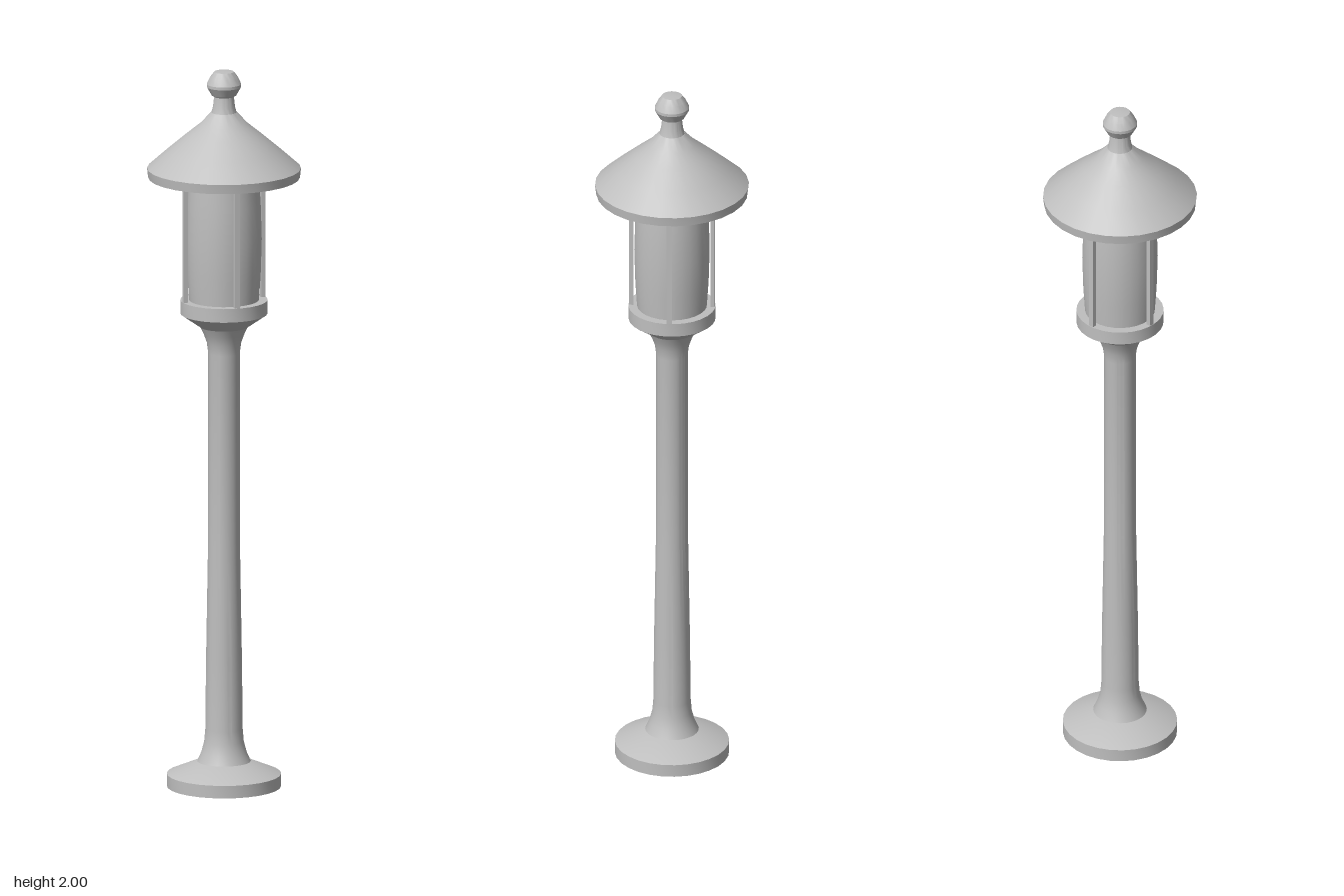
import * as THREE from 'three';
import { toCreasedNormals } from 'three/addons/utils/BufferGeometryUtils.js';

const SIDES = 28;

export function createModel() {
  const lamp = new THREE.Group();
  lamp.name = 'lampPost';
  const metal = new THREE.MeshStandardMaterial({ color: 0xbfbfbf });
  metal.name = 'grey metal';

  // Turned part from [radius, height] pairs listed bottom to top
  function turned(name, profile) {
    const points = profile.map(([r, y]) => new THREE.Vector2(r, y));
    const geometry = toCreasedNormals(new THREE.LatheGeometry(points, SIDES), 0.42);
    const mesh = new THREE.Mesh(geometry, metal);
    mesh.name = name;
    lamp.add(mesh);
  }

  // Foot plate with a sloping top
  turned('base', [[0, 0], [0.156, 0], [0.156, 0.035], [0.074, 0.07], [0, 0.07]]);

  // Slightly tapered pole, flared at both ends
  turned('pole', [
    [0.074, 0.068], [0.062, 0.095], [0.054, 0.125], [0.051, 0.16], [0.049, 0.35],
    [0.044, 0.65], [0.043, 1.21], [0.047, 1.24], [0.056, 1.265], [0.066, 1.285],
  ]);

  // Dish that carries the lantern
  turned('lanternTray', [[0, 1.285], [0.066, 1.285], [0.119, 1.322], [0.119, 1.36], [0, 1.36]]);

  // Gently bulging glass
  turned('glass', [[0.095, 1.355], [0.1, 1.43], [0.103, 1.53], [0.1, 1.63], [0.095, 1.705]]);

  // Four upright bars on the diagonals
  for (let i = 0; i < 4; i++) {
    const angle = Math.PI / 4 + (i * Math.PI) / 2;
    const bar = new THREE.Mesh(new THREE.BoxGeometry(0.014, 0.35, 0.012), metal);
    bar.name = 'lanternBar' + (i + 1);
    bar.position.set(Math.sin(angle) * 0.111, 1.53, Math.cos(angle) * 0.111);
    bar.rotation.y = angle;
    lamp.add(bar);
  }

  // Conical roof with a short vertical rim
  turned('roof', [
    [0, 1.702], [0.207, 1.702], [0.21, 1.728], [0.155, 1.777], [0.102, 1.822],
    [0.065, 1.852], [0.035, 1.884], [0, 1.884],
  ]);

  // Knob on a narrow neck
  turned('finial', [
    [0.035, 1.882], [0.03, 1.9], [0.027, 1.928], [0.034, 1.932], [0.047, 1.955],
    [0.047, 1.963], [0.038, 1.982], [0.027, 1.997], [0, 2],
  ]);

  return lamp;
}
